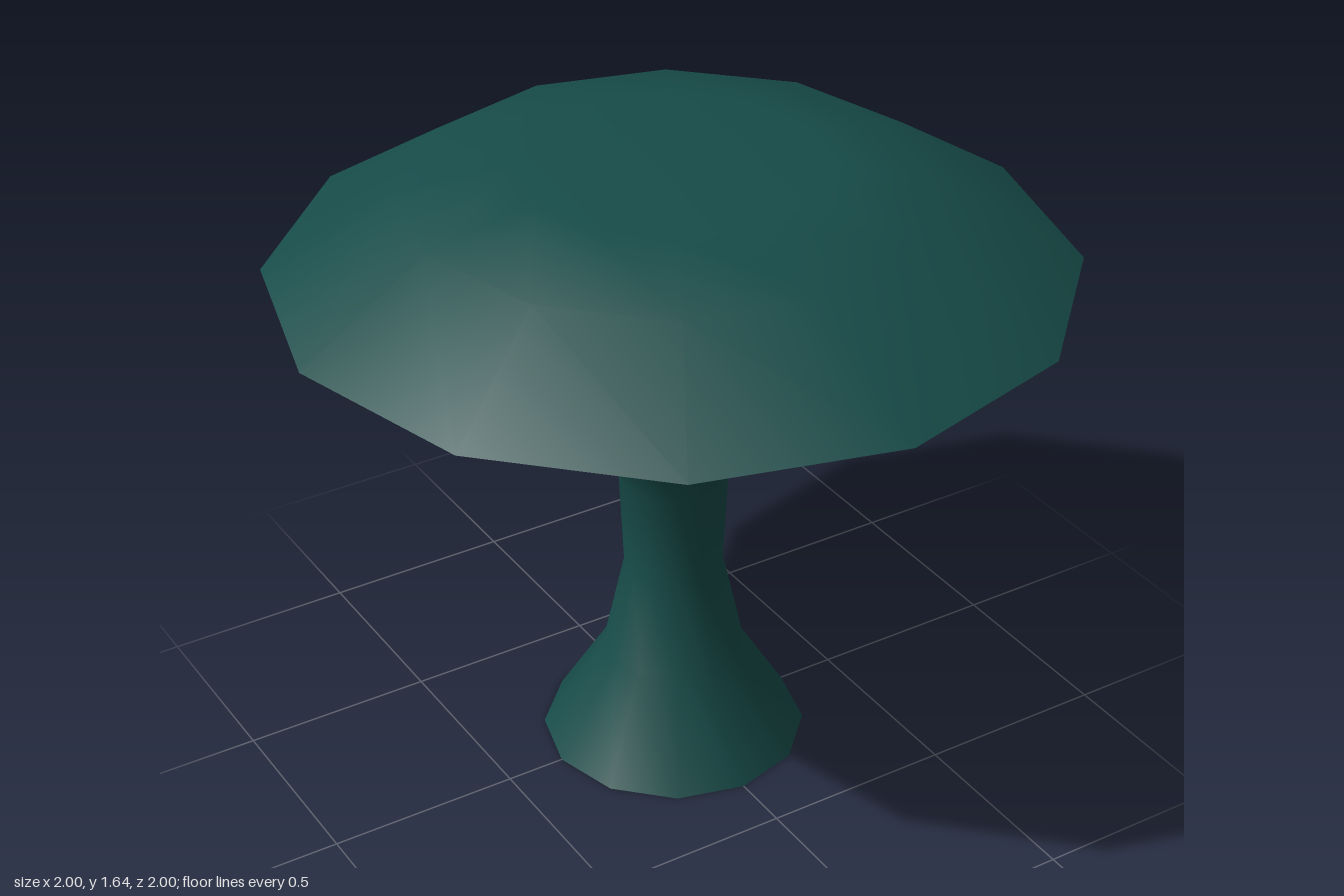
import * as THREE from 'three';

const SIDES = 12;

// Revolve a profile of [radius, height] pairs, listed so the outside faces outward
function revolve(name, profile, color) {
  const points = profile.map(([r, y]) => new THREE.Vector2(r, y));
  const mesh = new THREE.Mesh(
    new THREE.LatheGeometry(points, SIDES),
    new THREE.MeshStandardMaterial({ color })
  );
  mesh.name = name;
  return mesh;
}

export function createModel() {
  const group = new THREE.Group();
  group.name = 'mushroom';
  const teal = 0x174c49;
  const green = 0x066b45;

  // Flared stem with a narrow waist
  group.add(revolve('stem', [
    [0.345, 0], [0.185, 0.26], [0.128, 0.52],
    [0.14, 0.78], [0.253, 1.037], [0.57, 1.295],
  ], teal));

  // Flat foot closing the stem
  group.add(revolve('stemBase', [[0, 0], [0.345, 0]], teal));

  // Shallow conical underside of the cap
  group.add(revolve('capUnderside', [[0.57, 1.295], [1, 1.376]], green));

  // Domed cap with a flat crown
  group.add(revolve('cap', [
    [1, 1.376], [0.667, 1.587], [0.385, 1.643], [0, 1.643],
  ], teal));

  return group;
}
